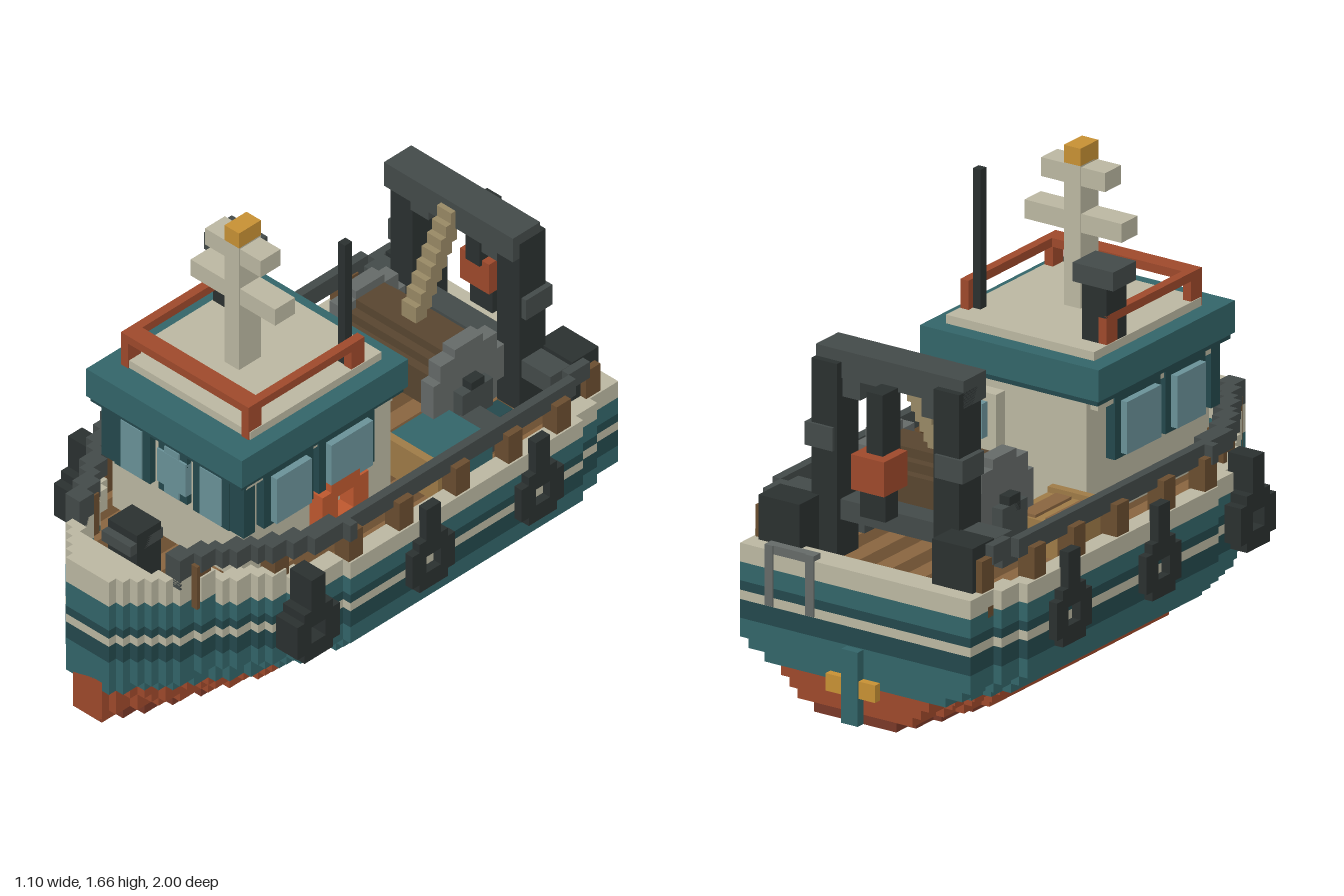
import * as THREE from 'three';
import { mergeGeometries } from 'three/addons/utils/BufferGeometryUtils.js';

const U = 2 / 62; // size of one block
const C = {
  teal: 0x33666a, darkTeal: 0x24494d, cream: 0xbdb9a3, red: 0xa04a2c, darkRed: 0x7b3928,
  brown: 0x8a6640, darkBrown: 0x6b4e30, net: 0x594630, dark: 0x2b3130, grey: 0x444b4a,
  midGrey: 0x666b69, glass: 0x6b939a, gold: 0xc99235, orange: 0xc0592f, rope: 0x9a8a66, tan: 0xa07c48,
};
const mats = {};
const mat = (c) => (mats[c] ??= new THREE.MeshStandardMaterial({ color: C[c], flatShading: true }));

// box geometry from its six limits
function bg(x0, x1, y0, y1, z0, z1) {
  return new THREE.BoxGeometry(x1 - x0, y1 - y0, z1 - z0)
    .translate((x0 + x1) / 2, (y0 + y1) / 2, (z0 + z1) / 2);
}

// half width of the hull in blocks, row 0 is the bow and row 60 the transom
const bow = [3, 4, 5, 6, 7, 8, 8, 9, 9, 10, 11, 11, 12, 13, 13, 14, 14, 15, 15, 15, 15];
const ROWS = 61;
const plan = (r) => (r < bow.length ? bow[r] : r > 56 ? 14 : r > 53 ? 15 : 16);
const rowZ = (r) => 1 - r * U;
const layerWidth = [3, 6, 8, 10, 11, 12, 14, 15];

function hullWidth(layer, r) {
  const L = layerWidth[layer] ?? 16;
  if (layer < 2) {
    const mid = layer ? 30.5 : 34, len = layer ? 24 : 12.5;
    const t = (r + 0.5 - mid) / len;
    return Math.abs(t) > 1 ? 0 : Math.max(1, Math.round(L * (1 - t * t * 0.8)));
  }
  const stern = layer < 8 && r > 44 ? 1 - ((r - 44) / 17) ** 2 * 0.05 * (8 - layer) : 1;
  return Math.max(2, Math.round((plan(r) * L * stern) / 16));
}

export function createModel() {
  const model = new THREE.Group();
  const add = (name, color, geos) => {
    const m = new THREE.Mesh(Array.isArray(geos) ? mergeGeometries(geos) : geos, mat(color));
    m.name = name;
    model.add(m);
    return m;
  };
  const box = (name, color, ...d) => add(name, color, bg(...d));
  // the same box on both sides
  const pair = (name, color, x0, x1, ...d) => add(name, color, [bg(x0, x1, ...d), bg(-x1, -x0, ...d)]);

  // hull in stacked layers, rows of equal width joined
  const bands = ['darkRed', 'darkRed', 'darkRed', 'red', 'red', 'red', 'teal', 'teal', 'teal', 'teal',
    'darkTeal', 'darkTeal', 'cream', 'darkTeal', 'teal', 'teal'];
  bands.forEach((color, layer) => {
    const geos = [];
    for (let r = 0; r < ROWS;) {
      const w = hullWidth(layer, r), start = r;
      while (r < ROWS && hullWidth(layer, r) === w) r++;
      if (w) geos.push(bg(-w * U, w * U, layer * U, (layer + 1) * U, rowZ(r), rowZ(start)));
    }
    add('hullLayer', color, geos);
  });
  box('stem', 'red', -0.065, 0.065, 0.065, 0.226, 0.9, 1.0);

  // bulwark, raised at the bow
  const wall = { cream: [], teal: [] };
  for (let r = 0; r < ROWS; r++) {
    const w = plan(r), inner = r < 4 || r > 57 ? 0 : Math.min(w - 2, plan(r - 1) - 1);
    const put = (c, a, b) => [1, -1].forEach((s) => {
      const x = [s * inner * U, s * w * U].sort((p, q) => p - q);
      wall[c].push(bg(x[0], x[1], a * U, b * U, rowZ(r + 1), rowZ(r)));
    });
    if (r < 9) put('teal', 16, 17);
    put('cream', r < 9 ? 17 : 16, r < 9 ? 20 : r < 15 ? 19 : 18);
  }
  add('bulwark', 'cream', wall.cream);
  add('bowStrake', 'teal', wall.teal);

  // deck planks
  for (let i = -7; i < 7; i++) {
    const reach = Math.max(Math.abs(i), Math.abs(i + 1)) * 2;
    let r = 4;
    while (plan(r) < reach + 1) r++;
    box('deckPlank', i % 2 ? 'darkBrown' : 'brown', i * 2 * U, (i + 1) * 2 * U, 0.49, 0.528, -0.87, rowZ(r));
  }

  // handrail and posts
  const rail = [];
  for (let r = 5; r < 59; r++) {
    const w = plan(r), a = (w - 2) * U, b = (r < 22 ? w : w - 1) * U;
    for (const x of [a, -b]) rail.push(bg(x, x + b - a, (r < 7 ? 19 : 20.6) * U, 22.6 * U, rowZ(r + 1), rowZ(r)));
  }
  add('handrail', 'grey', rail);
  for (const z of [0.755, 0.53, 0.29, 0.06, -0.2, -0.44, -0.66, -0.86]) {
    const w = plan(Math.floor((1 - z) / U));
    pair('railPost', 'darkBrown', (w - 2.2) * U, (w - 0.2) * U, 0.52, 0.69, z - U, z + U);
  }

  // tyre fenders with straps
  for (const [z, inner] of [[0.5, 14], [-0.026, 15.9], [-0.525, 15.9]]) {
    const geos = [];
    const d = (y0, y1, z0, z1) => [inner * U, -17 * U].forEach((x) => geos.push(
      bg(x, x + (17 - inner) * U, 0.42 + y0 * U, 0.42 + y1 * U, z + z0 * U, z + z1 * U)));
    d(-2, 2, -3, -1); d(-2, 2, 1, 3);
    d(-3, -1, -2, 2); d(1, 3, -2, 2);
    d(3, 6.8, -1, 1);
    add('tyreFender', 'dark', geos);
  }

  // rudder and stern ladder
  box('rudder', 'teal', -U, U, 0.065, 0.32, -1, -0.96);
  box('rudderBracket', 'gold', -0.097, 0.097, 0.16, 0.22, -0.995, -0.9);
  for (const x of [0.16, 0.32]) box('ladderRail', 'midGrey', x, x + U, 0.39, 0.6, -0.973, -0.935);
  box('ladderTop', 'midGrey', 0.16, 0.35, 0.57, 0.6, -0.968, -0.935);

  // bow winch
  box('bowWinch', 'dark', -0.065, 0.065, 0.52, 0.73, 0.73, 0.84);
  box('bowWinchTop', 'grey', -0.065, 0.065, 0.66, 0.7, 0.72, 0.87);

  // wheelhouse
  box('cabinWalls', 'cream', -0.29, 0.29, 0.5, 0.97, -0.09, 0.59);
  pair('cabinCorner', 'cream', 0.26, 0.32, 0.92, 0.96, -0.07, 0.6);
  box('roofUnderside', 'darkTeal', -0.34, 0.34, 0.95, 0.985, -0.1, 0.64);
  box('roof', 'teal', -0.35, 0.35, 0.97, 1.08, -0.11, 0.65);
  box('roofDeck', 'cream', -0.29, 0.29, 1.07, 1.11, -0.05, 0.55);
  // side windows
  for (const [z0, z1] of [[0.33, 0.49], [0.05, 0.24]]) {
    pair('sideWindowFrame', 'darkTeal', 0.28, 0.325, 0.725, 0.94, z0 - U, z1 + U);
    pair('sideWindow', 'glass', 0.28, 0.35, 0.74, 0.92, z0, z1);
  }
  // front windows
  pair('cornerFrame', 'darkTeal', 0.25, 0.32, 0.73, 0.95, 0.56, 0.61);
  pair('frontWindowFrame', 'darkTeal', 0.097, 0.258, 0.73, 0.93, 0.57, 0.615);
  pair('frontWindow', 'glass', 0.13, 0.226, 0.735, 0.925, 0.58, 0.62);
  box('middleWindowFrame', 'darkTeal', -0.065, 0.065, 0.73, 0.925, 0.57, 0.61);
  box('middleWindow', 'glass', -0.065, 0.065, 0.765, 0.895, 0.58, 0.617);
  box('middleWindowTall', 'glass', -U, U, 0.735, 0.92, 0.58, 0.616);
  // rear door
  box('rearDoor', 'cream', 0.03, 0.19, 0.52, 0.92, -0.14, -0.08);
  box('rearDoorWindow', 'glass', 0.065, 0.18, 0.77, 0.89, -0.17, -0.13);

  // life ring on the left wall
  const ring = [];
  for (const s of [-1, 1]) {
    ring.push(bg(0.28, 0.35, 0.59, 0.73, 0.175 + s * 0.07 - 0.035, 0.175 + s * 0.07 + 0.035));
    ring.push(bg(0.28, 0.35, 0.66 + s * 0.07 - 0.03, 0.66 + s * 0.07 + 0.03, 0.11, 0.24));
  }
  add('lifeRing', 'orange', ring);

  // roof rail
  pair('roofRailSide', 'red', 0.255, 0.287, 1.18, 1.21, 0.025, 0.555);
  box('roofRailFront', 'red', -0.287, 0.287, 1.18, 1.21, 0.49, 0.555);
  for (const z of [0.495, 0.025]) pair('roofRailPost', 'red', 0.255, 0.287, 1.08, 1.2, z, z + 0.06);

  // mast, lamp, antenna, funnel
  box('mast', 'cream', -U, U, 1.1, 1.6, 0.24, 0.34);
  box('lowerArm', 'cream', -0.19, 0.19, 1.37, 1.435, 0.245, 0.335);
  box('upperArm', 'cream', -0.125, 0.125, 1.53, 1.595, 0.245, 0.335);
  box('mastLamp', 'gold', -U, U, 1.595, 1.66, 0.24, 0.34);
  box('antenna', 'dark', 0.225, 0.255, 1.1, 1.59, 0.05, 0.082);
  box('funnel', 'dark', -0.287, -0.19, 1.08, 1.31, 0.025, 0.135);
  box('funnelCap', 'grey', -0.32, -0.16, 1.305, 1.37, 0.015, 0.143);

  // stern gantry
  pair('gantryLeg', 'dark', 0.19, 0.29, 0.52, 1.2, -0.8, -0.68);
  pair('gantryBrace', 'grey', 0.12, 0.2, 1.08, 1.17, -0.77, -0.68);
  pair('gantryKnee', 'grey', 0.2, 0.31, 0.9, 0.98, -0.81, -0.69);
  box('gantryBeam', 'grey', -0.29, 0.29, 1.145, 1.24, -0.775, -0.65);
  box('gantryBase', 'grey', -0.42, 0.42, 0.66, 0.73, -0.78, -0.69);
  pair('sternBollard', 'dark', 0.26, 0.42, 0.52, 0.735, -0.91, -0.79);
  box('pulleyArm', 'dark', -U, U, 0.93, 1.16, -0.86, -0.76);
  box('pulleyBlock', 'red', -0.065, 0.065, 0.83, 0.95, -0.9, -0.77);
  box('hook', 'dark', -0.05, 0.05, 0.73, 0.83, -0.87, -0.8);
  // rope stepping down to the drum
  const rope = [];
  for (let i = 0; i < 8; i++) {
    const z = -0.68 + i * 0.023, y = 1.14 - i * 0.042;
    rope.push(bg(-U, U, y, y + 0.075, z, z + 0.05));
  }
  add('towRope', 'rope', rope);

  // net drum: stepped discs
  const disc = (radius, x0, x1) => {
    const geos = [];
    for (let k = -radius; k < radius; k++) {
      const w = Math.round(Math.sqrt(radius * radius - (k + 0.5) ** 2));
      geos.push(bg(x0, x1, 0.73 + k * U, 0.73 + (k + 1) * U, -0.49 - w * U, -0.49 + w * U));
    }
    return geos;
  };
  add('drumFlange', 'midGrey', [...disc(5, 0.194, 0.25), ...disc(5, -0.25, -0.194)]);
  add('netRoll', 'net', disc(4, -0.194, 0.194));
  box('drumAxle', 'dark', -0.29, 0.29, 0.7, 0.76, -0.52, -0.46);
  pair('drumStand', 'grey', 0.25, 0.29, 0.52, 0.73, -0.56, -0.42);

  // deck crates
  box('woodCrate', 'tan', -0.445, -0.2, 0.52, 0.65, -0.4, -0.18);
  for (const x of [-0.4, -0.3]) box('crateSlat', 'brown', x, x + 0.06, 0.64, 0.66, -0.39, -0.19);
  box('tealCrate', 'teal', 0.2, 0.445, 0.52, 0.665, -0.4, -0.17);
  box('smallTealCrate', 'darkTeal', 0.28, 0.35, 0.52, 0.62, -0.59, -0.49);
  box('toolBox', 'grey', 0.28, 0.38, 0.52, 0.65, -0.5, -0.39);
  pair('crateLedge', 'tan', 0.2, 0.445, 0.52, 0.67, -0.18, -0.15);
  return model;
}
